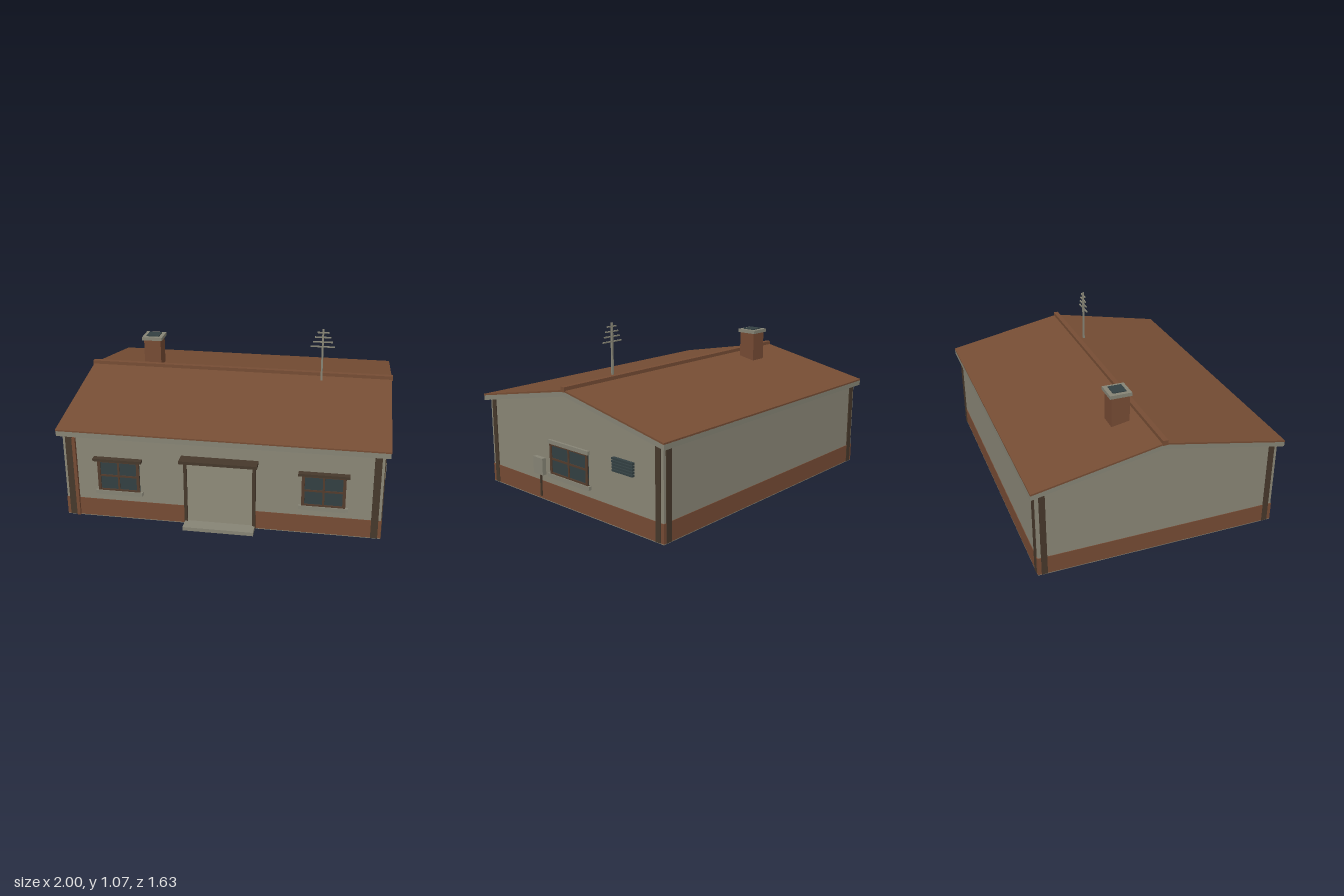
import * as THREE from 'three';

const mat = (name, color) => {
  const m = new THREE.MeshStandardMaterial({ color });
  m.name = name;
  return m;
};

export function createModel() {
  const M = {
    wall: mat('wall siding', 0x8a8676),
    door: mat('door panel', 0x8f8b79),
    trim: mat('pale trim', 0x868475),
    roof: mat('roof tiles', 0x764d34),
    brick: mat('brick', 0x764b34),
    frame: mat('window wood', 0x533c2d),
    dark: mat('dark wood', 0x46382b),
    glass: mat('dark glass', 0x334042),
  };
  const house = new THREE.Group();
  house.name = 'house';
  const ZC = -0.028; // middle of the building in depth

  // Box given by its extents
  const box = (name, m, x0, x1, y0, y1, z0, z1, parent = house) => {
    const mesh = new THREE.Mesh(new THREE.BoxGeometry(x1 - x0, y1 - y0, z1 - z0), m);
    mesh.position.set((x0 + x1) / 2, (y0 + y1) / 2, (z0 + z1) / 2);
    mesh.name = name;
    parent.add(mesh);
  };
  // Depth/height profile swept along x
  const sweep = (name, m, points, halfLength) => {
    const shape = new THREE.Shape(points.map(([a, b]) => new THREE.Vector2(a, b)));
    const geo = new THREE.ExtrudeGeometry(shape, { depth: halfLength * 2, bevelEnabled: false });
    geo.translate(0, 0, -halfLength).rotateY(Math.PI / 2);
    const mesh = new THREE.Mesh(geo, m);
    mesh.position.z = ZC;
    mesh.name = name;
    house.add(mesh);
  };

  // Walls with gables on a floor slab, and the brick plinth
  const W = 0.963, D = 0.753;
  sweep('walls', M.wall, [[-D, 0.003], [D, 0.003], [D, 0.56], [0, 0.71], [-D, 0.56]], W);
  box('floorSlab', M.wall, -W - 0.003, W + 0.003, 0, 0.004, ZC - D - 0.003, ZC + D + 0.003);
  box('plinth', M.brick, -W - 0.003, W + 0.003, 0.004, 0.12, ZC - D - 0.003, ZC + D + 0.003);

  // Roof deck, whose edges form the fascia and bargeboards
  const E = 0.784;
  sweep('roofDeck', M.trim, [[-E, 0.543], [0, 0.698], [E, 0.543], [E, 0.575], [0, 0.728], [-E, 0.575]], 0.992);

  // Roof covering and ridge cap
  sweep('roofTiles', M.roof, [[0, 0.727], [E, 0.574], [E, 0.584], [0, 0.737], [-E, 0.584], [-E, 0.574]], 0.995);
  box('ridgeCap', M.roof, -1, 1, 0.725, 0.756, ZC - 0.016, ZC + 0.016);

  // Paired corner boards
  for (const sx of [-1, 1]) {
    for (const sz of [-1, 1]) {
      const cx = sx * 0.926, cz = ZC + sz * 0.715;
      const fz = ZC + sz * D, fx = sx * W;
      box('cornerBoard', M.dark, cx - 0.021, cx + 0.021, 0.004, 0.56, fz - 0.006, fz + 0.006);
      box('cornerBoard', M.dark, fx - 0.006, fx + 0.006, 0.004, 0.56, cz - 0.018, cz + 0.018);
    }
  }

  // Four-pane window, built facing +z with its wall at z = 0
  const addWindow = (name, w, y0, y1, bar, hood) => {
    const g = new THREE.Group();
    g.name = name;
    const h = w / 2, my = (y0 + y1) / 2;
    box('glass', M.glass, -h, h, y0, y1, 0, 0.006, g);
    for (const s of [-1, 1]) {
      const x = s * (h - bar / 2);
      box('jamb', M.frame, x - bar / 2, x + bar / 2, y0, y1, 0, 0.013, g);
    }
    box('headRail', M.frame, -h, h, y1 - 0.011, y1, 0, 0.012, g);
    box('bottomRail', M.frame, -h, h, y0, y0 + 0.011, 0, 0.012, g);
    box('mullion', M.frame, -0.006, 0.006, y0, y1, 0, 0.011, g);
    box('transom', M.frame, -h, h, my - 0.006, my + 0.006, 0, 0.01, g);
    box('sill', M.trim, -h - 0.017, h + 0.017, y0 - 0.022, y0, 0, 0.018, g);
    box('lowerSill', M.trim, -h, h, y0 - 0.031, y0 - 0.022, 0, 0.01, g);
    hood(g, h);
    house.add(g);
    return g;
  };
  for (const x of [-0.623, 0.62]) {
    const g = addWindow('frontWindow', 0.26, 0.19, 0.39, 0.018, (p, h) => {
      box('hood', M.dark, -h - 0.02, h + 0.02, 0.395, 0.411, 0, 0.037, p);
      box('hoodBeam', M.frame, -h, h, 0.385, 0.395, 0, 0.015, p);
    });
    g.position.set(x, 0, ZC + D);
  }
  const side = addWindow('sideWindow', 0.334, 0.19, 0.38, 0.016, (p, h) => {
    box('header', M.trim, -h - 0.01, h + 0.01, 0.378, 0.402, 0, 0.016, p);
  });
  side.position.set(W, 0, -0.027);
  side.rotation.y = Math.PI / 2;

  // Door with posts, canopy and step
  box('door', M.door, -0.2, 0.2, 0.02, 0.425, 0.72, 0.733);
  for (const s of [-1, 1]) {
    const x = s * 0.208;
    box('doorPost', M.dark, x - 0.01, x + 0.01, 0.004, 0.425, 0.72, 0.742);
  }
  box('canopyBeam', M.frame, -0.222, 0.222, 0.423, 0.44, 0.72, 0.744);
  box('canopy', M.dark, -0.233, 0.233, 0.438, 0.456, 0.72, 0.804);
  box('step', M.trim, -0.215, 0.215, 0, 0.023, 0.72, 0.818);

  // Chimney
  box('chimney', M.brick, -0.666, -0.552, 0.68, 0.892, -0.221, -0.107);
  box('chimneyCap', M.trim, -0.677, -0.541, 0.888, 0.91, -0.234, -0.097);
  box('flue', M.glass, -0.652, -0.566, 0.9, 0.916, -0.207, -0.123);

  // Aerial with four crossbars
  const aerial = new THREE.Group();
  aerial.name = 'aerial';
  house.add(aerial);
  box('mast', M.trim, 0.539, 0.551, 0.7, 1.065, 0.029, 0.041, aerial);
  [0.077, 0.064, 0.051, 0.038].forEach((half, i) => {
    const y = 0.95 + i * 0.031;
    box('crossbar', M.trim, 0.545 - half, 0.545 + half, y - 0.004, y + 0.004, 0.031, 0.039, aerial);
  });

  // Downpipe
  box('downpipe', M.brick, -0.902, -0.882, 0.005, 0.53, 0.72, 0.743);

  // Meter box and its conduit
  box('meterBox', M.trim, 0.955, 0.99, 0.166, 0.272, 0.195, 0.281);
  box('conduit', M.dark, 0.955, 0.975, 0.02, 0.166, 0.233, 0.243);

  // Louvred vent
  for (let i = 0; i < 5; i++) {
    const y = 0.335 + i * 0.0172;
    box('ventSlat', M.glass, 0.955, 0.984, y, y + 0.012, -0.566, -0.405);
  }
  return house;
}
